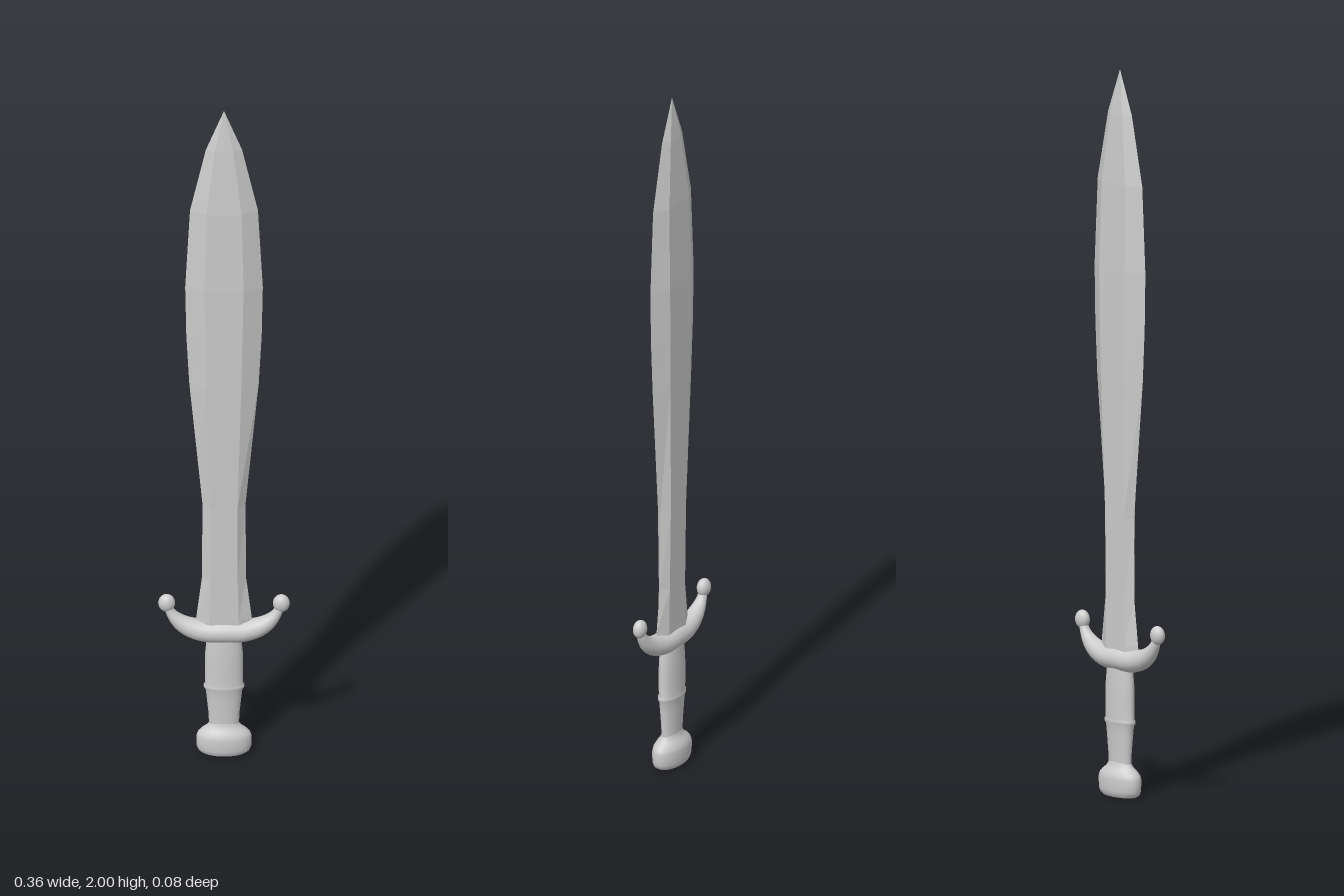
import * as THREE from 'three';
import { mergeVertices } from 'three/addons/utils/BufferGeometryUtils.js';

const smooth = () => new THREE.MeshStandardMaterial({ color: 0xcccccc });
const flat = () => new THREE.MeshStandardMaterial({ color: 0xcccccc, flatShading: true });

function add(group, name, geometry, material) {
  const mesh = new THREE.Mesh(geometry, material);
  mesh.name = name;
  group.add(mesh);
  return mesh;
}

// Skin a list of equal-length rings (counter-clockwise about the direction of travel)
function loft(rings) {
  const n = rings[0].length, index = [];
  for (let i = 0; i < rings.length - 1; i++) {
    for (let j = 0; j < n; j++) {
      const a = i * n + j, b = i * n + (j + 1) % n;
      index.push(a, b, b + n, a, b + n, a + n);
    }
  }
  const g = new THREE.BufferGeometry();
  g.setAttribute('position', new THREE.Float32BufferAttribute(rings.flat(2), 3));
  g.setIndex(index);
  g.computeVertexNormals();
  return g;
}

// Leaf-shaped blade, hexagonal section: [height, half width, half flat, half thickness]
function bladeGeometry() {
  const sections = [
    [0.37, 0.08, 0.04, 0.018], [0.42, 0.075, 0.04, 0.018], [0.54, 0.06, 0.037, 0.018],
    [0.77, 0.058, 0.037, 0.021], [1.15, 0.094, 0.047, 0.027], [1.3, 0.102, 0.05, 0.029],
    [1.45, 0.105, 0.053, 0.029], [1.69, 0.092, 0.048, 0.024], [1.88, 0.049, 0.025, 0.013],
    [2.0, 0.0005, 0.0002, 0.0002],
  ];
  return loft(sections.map(([y, w, f, t]) => [
    [w, y, 0], [f, y, -t], [-f, y, -t], [-w, y, 0], [-f, y, t], [f, y, t],
  ]));
}

// Curved crossguard swept along an upturned arc, tapering to both ends
function guardGeometry() {
  // [x, y, radius in plane, radius in z]
  const half = [
    [0.05, 0.377, 0.031, 0.033], [0.09, 0.387, 0.028, 0.028],
    [0.12, 0.405, 0.022, 0.022], [0.143, 0.432, 0.014, 0.015], [0.154, 0.462, 0.01, 0.01],
  ];
  const all = [...half.map(([x, ...r]) => [-x, ...r]).reverse(), [0, 0.377, 0.033, 0.035], ...half];
  const path = new THREE.CatmullRomCurve3(all.map(([x, y]) => new THREE.Vector3(x, y, 0)));
  const radii = new THREE.CatmullRomCurve3(all.map(([, , a, b]) => new THREE.Vector3(a, b, 0)));
  const rings = [], steps = 40, sides = 20;
  for (let i = 0; i <= steps; i++) {
    const p = path.getPoint(i / steps), r = radii.getPoint(i / steps), d = path.getTangent(i / steps);
    const ring = [];
    for (let j = 0; j < sides; j++) {
      const a = j / sides * Math.PI * 2, c = Math.cos(a) * r.x;
      ring.push([p.x - d.y * c, p.y + d.x * c, Math.sin(a) * r.y]);
    }
    rings.push(ring);
  }
  return loft(rings);
}

// Oval turned part: profile of [half width, height], flattened in z
function turned(profile, depth) {
  const g = new THREE.LatheGeometry(profile.map(([x, y]) => new THREE.Vector2(x, y)), 28);
  g.scale(1, 1, depth);
  g.deleteAttribute('normal');
  g.deleteAttribute('uv');
  const welded = mergeVertices(g, 1e-5);
  welded.computeVertexNormals();
  return welded;
}

export function createModel() {
  const sword = new THREE.Group();
  sword.name = 'sword';

  add(sword, 'blade', bladeGeometry(), flat());
  add(sword, 'crossguard', guardGeometry(), smooth());

  // Finials on the guard tips
  for (const side of [-1, 1]) {
    const ball = add(sword, side > 0 ? 'leftFinial' : 'rightFinial',
      new THREE.SphereGeometry(1, 20, 14), smooth());
    ball.scale.set(0.023, 0.026, 0.018);
    ball.position.set(side * 0.155, 0.463, 0);
  }

  // Grip with a slight swell and a thin ridge
  add(sword, 'grip', turned([
    [0.04, 0.07], [0.042, 0.12], [0.047, 0.17], [0.05, 0.197], [0.055, 0.202], [0.055, 0.21],
    [0.051, 0.215], [0.052, 0.26], [0.051, 0.31], [0.047, 0.35], [0.045, 0.375],
  ], 0.51), smooth());

  // Oval pommel with rounded rims
  add(sword, 'pommel', turned([
    [0, 0.002], [0.055, 0.002], [0.06, 0.003], [0.069, 0.009], [0.074, 0.02], [0.075, 0.035],
    [0.075, 0.052], [0.071, 0.063], [0.06, 0.074], [0.048, 0.082], [0.041, 0.092], [0.038, 0.1],
  ], 0.54), smooth());

  // Stand the pommel on the ground
  sword.children.find((m) => m.name === 'pommel').position.y = -0.002;
  return sword;
}
